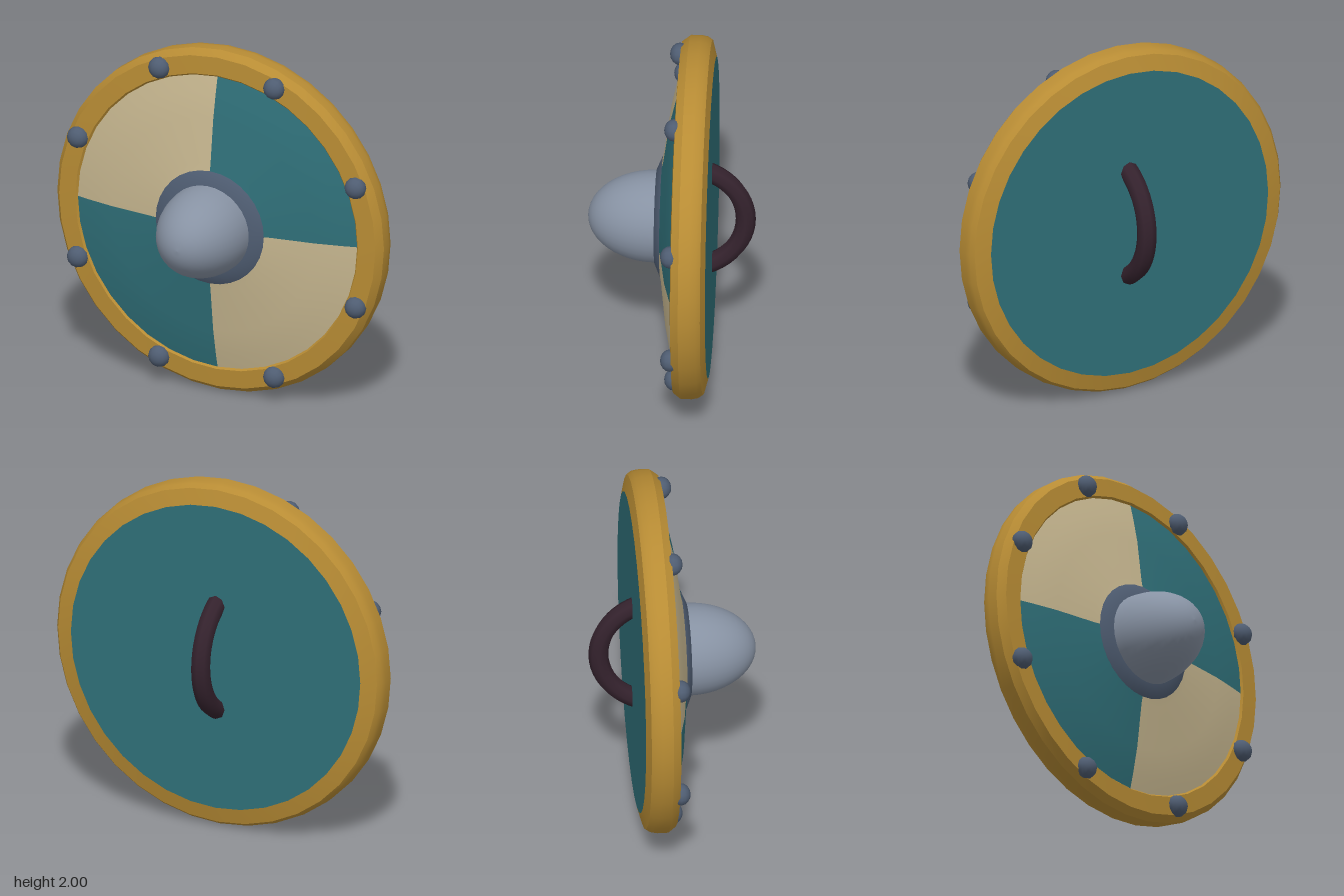
import * as THREE from 'three';
import { toCreasedNormals } from 'three/addons/utils/BufferGeometryUtils.js';

const paint = (name, color) => {
  const m = new THREE.MeshStandardMaterial({ color });
  m.name = name;
  return m;
};

export function createModel() {
  const gold = paint('gold', 0xb88c34);
  const teal = paint('teal', 0x2f6f78);
  const cream = paint('cream', 0xc6b68f);
  const steel = paint('steel', 0x8792a3);
  const darkSteel = paint('darkSteel', 0x4f5d72);
  const leather = paint('leather', 0x34222d);

  const shield = new THREE.Group();
  shield.name = 'shield';
  shield.position.y = 1;

  const add = (name, geometry, material) => {
    const mesh = new THREE.Mesh(geometry, material);
    mesh.name = name;
    shield.add(mesh);
    return mesh;
  };

  // Turns a [radius, z] profile, listed from back to front, around the z axis
  const turn = (profile, segments = 36, start = 0, length = Math.PI * 2) =>
    new THREE.LatheGeometry(profile.map(([r, z]) => new THREE.Vector2(r, z)), segments, start, length)
      .rotateX(Math.PI / 2);

  // Bevelled rim
  const rim = turn([
    [0.885, -0.224], [0.975, -0.2], [0.993, -0.175], [1, -0.14], [1, -0.08],
    [0.968, -0.037], [0.865, -0.03], [0.835, -0.065],
  ]);
  add('rim', toCreasedNormals(rim, 0.5), gold);

  // Flat back
  add('backBoard', turn([[0, -0.224], [0.885, -0.224]]), teal);

  // Domed front in four painted quarters
  const dome = [[0.88, -0.048], [0.77, -0.02], [0.62, 0.012], [0.37, 0.045], [0.25, 0.07]];
  for (let i = 0; i < 4; i++) {
    add(`frontQuarter${i + 1}`, turn(dome, 9, i * Math.PI / 2, Math.PI / 2), i % 2 ? teal : cream);
  }

  // Boss with its collar
  add('bossCollar', turn([[0.332, 0.045], [0.33, 0.056], [0.26, 0.086], [0.2, 0.09]], 32), darkSteel);
  const bossProfile = [];
  for (let i = 0; i <= 12; i++) {
    const a = (i / 12) * Math.PI / 2;
    bossProfile.push([0.255 * Math.cos(a), 0.085 + 0.372 * Math.sin(a)]);
  }
  add('boss', turn(bossProfile, 32), steel);

  // Rivets around the rim
  const rivet = new THREE.SphereGeometry(0.062, 12, 8).rotateX(Math.PI / 2).scale(1, 1, 0.87);
  for (let i = 0; i < 8; i++) {
    const a = (i + 0.5) * Math.PI / 4;
    add(`rivet${i + 1}`, rivet, darkSteel).position.set(0.92 * Math.cos(a), 0.92 * Math.sin(a), -0.03);
  }

  // Curved grip, with both ends sunk into the back
  const arc = 2.4;
  const grip = new THREE.TorusGeometry(0.34, 0.055, 8, 20, arc)
    .rotateZ(Math.PI / 2 - arc / 2)
    .rotateX(-Math.PI / 2)
    .rotateZ(Math.PI / 2);
  add('grip', grip, leather).position.z = -0.068;

  const model = new THREE.Group();
  model.name = 'roundShield';
  model.add(shield);
  // Centre the depth
  return model;
}
